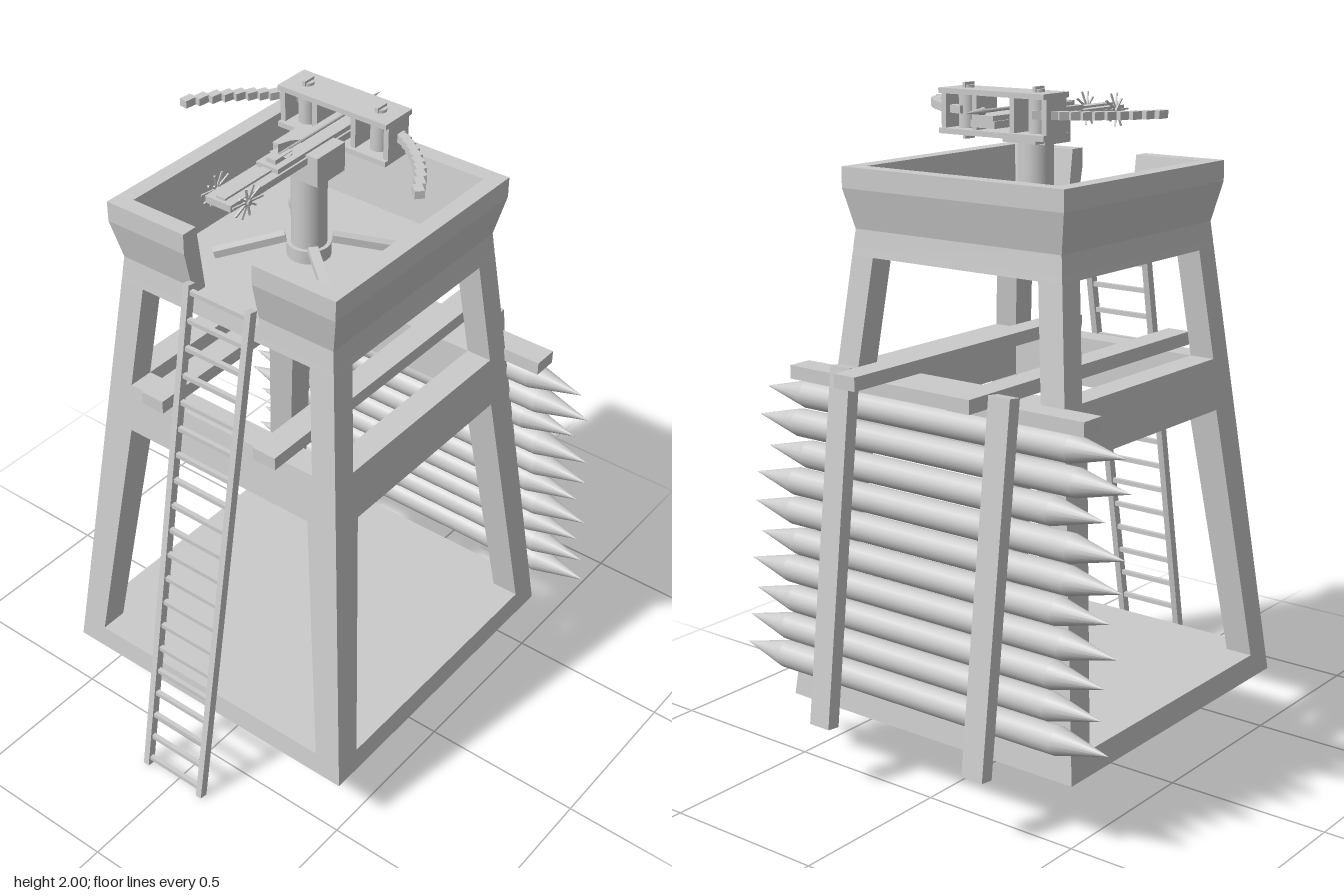
import * as THREE from 'three';

const mat = new THREE.MeshStandardMaterial({ color: 0xcccccc, side: THREE.DoubleSide });

function add(parent, name, geo, x = 0, y = 0, z = 0) {
  const m = new THREE.Mesh(geo, mat);
  m.name = name;
  m.position.set(x, y, z);
  parent.add(m);
  return m;
}

// box given by its limits
function block(parent, name, x0, x1, y0, y1, z0, z1) {
  return add(parent, name, new THREE.BoxGeometry(x1 - x0, y1 - y0, z1 - z0),
    (x0 + x1) / 2, (y0 + y1) / 2, (z0 + z1) / 2);
}

// straight bar between two points, w across and h deep
function bar(parent, name, a, b, w, h) {
  const p = new THREE.Vector3(...a), q = new THREE.Vector3(...b);
  const m = add(parent, name, new THREE.BoxGeometry(w, h, p.distanceTo(q)));
  m.position.copy(p).lerp(q, 0.5);
  m.lookAt(q);
  return m;
}

// box whose bottom and top rectangles [x0, x1, z0, z1] differ
function prism(parent, name, y0, r0, y1, r1) {
  const g = new THREE.BoxGeometry(1, 1, 1).toNonIndexed(), p = g.attributes.position;
  for (let i = 0; i < p.count; i++) {
    const top = p.getY(i) > 0, r = top ? r1 : r0;
    p.setXYZ(i, p.getX(i) > 0 ? r[1] : r[0], top ? y1 : y0, p.getZ(i) > 0 ? r[3] : r[2]);
  }
  g.computeVertexNormals();
  return add(parent, name, g);
}

// wall of a square ring: profile [distance, y], ends mitred unless given
function wall(parent, name, profile, turn, start, end) {
  const shape = new THREE.Shape(profile.map(p => new THREE.Vector2(...p)));
  const g = new THREE.ExtrudeGeometry(shape, { depth: 1, bevelEnabled: false });
  const p = g.attributes.position;
  for (let i = 0; i < p.count; i++) {
    const d = p.getX(i);
    p.setZ(i, p.getZ(i) > 0.5 ? (end ?? d) : (start ?? -d));
  }
  g.computeVertexNormals();
  add(parent, name, g).rotation.y = turn * Math.PI / 2;
}

const outer = y => 0.512 - 0.109 * (y - 0.2);

function tower() {
  const g = new THREE.Group();
  g.name = 'tower';
  g.position.set(0.012, 0, -0.006);
  const sq = h => [-h, h, -h, h];
  prism(g, 'baseSlab', 0.2, sq(outer(0.2)), 0.27, sq(outer(0.27)));

  // leaning corner legs, lower and upper storey
  for (const [y0, i0, y1, i1] of [[0.27, 0.42, 1.05, 0.322], [1.2, 0.325, 1.52, 0.29]]) {
    for (const sx of [-1, 1]) for (const sz of [-1, 1]) {
      const rect = (i, o) => [...(sx > 0 ? [i, o] : [-o, -i]), ...(sz > 0 ? [i, o] : [-o, -i])];
      prism(g, 'leg', y0, rect(i0, outer(y0)), y1, rect(i1, outer(y1)));
    }
  }

  // middle band and flared parapet, with an entry gap on the ladder side
  const band = [[0.322, 1.05], [outer(1.05), 1.05], [outer(1.2), 1.2], [0.325, 1.2]];
  const parapet = [[0.3, 1.54], [outer(1.54), 1.54], [outer(1.595), 1.595], [0.385, 1.71],
    [0.385, 1.77], [0.335, 1.77], [0.308, 1.57]];
  for (let k = 0; k < 4; k++) {
    wall(g, 'middleBand', band, k);
    if (k !== 2) wall(g, 'parapet', parapet, k);
  }
  wall(g, 'parapet', parapet, 2, undefined, -0.115);
  wall(g, 'parapet', parapet, 2, 0.115, undefined);
  prism(g, 'topFloor', 1.52, sq(outer(1.52)), 1.57, sq(outer(1.57) - 0.001));
  return g;
}

function ladder() {
  const g = new THREE.Group();
  g.name = 'ladder';
  const at = (y, z) => [-0.65 + 0.285 * y / 1.62, y, z];
  for (const z of [-0.115, 0.097]) bar(g, 'ladderRail', at(0.004, z), at(1.62, z), 0.02, 0.026);
  for (let i = 0; i < 20; i++) {
    const y = 0.03 + i * 0.0825;
    bar(g, 'rung', at(y, -0.115), at(y, 0.097), 0.014, 0.014);
  }
  return g;
}

function palisade() {
  const g = new THREE.Group();
  g.name = 'palisade';
  // hanging beams and cross plank
  for (const z of [-0.21, 0.19]) block(g, 'hangingBeam', -0.435, 0.61, 1.2, 1.24, z - 0.038, z + 0.038);
  block(g, 'crossPlank', 0.41, 0.488, 1.16, 1.2, -0.525, 0.515);
  for (const z of [-0.285, 0.277]) bar(g, 'palisadePost', [0.64, 0.2, z], [0.512, 1.235, z], 0.072, 0.042);

  // sharpened logs of uneven length
  const r = 0.041, half = 0.49;
  const tips = [[0.64, 0.635], [0.665, 0.66], [0.62, 0.59], [0.665, 0.66], [0.665, 0.66],
    [0.635, 0.63], [0.665, 0.66], [0.64, 0.63], [0.66, 0.63], [0.665, 0.66]];
  tips.forEach(([front, back], i) => {
    const log = new THREE.Group();
    log.name = 'log';
    log.position.set(0.458 + 0.0108 * i, 1.115 - 0.0862 * i, 0);
    log.rotation.x = Math.PI / 2;
    const f = front - 0.165, b = back - 0.165;
    add(log, 'logBody', new THREE.CylinderGeometry(r, r, f + b, 16, 1, true), 0, (f - b) / 2, 0);
    for (const [s, e] of [[1, f], [-1, b]]) {
      const tip = add(log, 'logPoint', new THREE.ConeGeometry(r, 0.165, 16, 1, true), 0, s * (e + 0.0825), 0);
      if (s < 0) tip.rotation.x = Math.PI;
    }
    g.add(log);
  });
  return g;
}

function boltThrower() {
  const g = new THREE.Group();
  g.name = 'boltThrower';
  g.position.z = -0.008;
  // pedestal with four feet
  add(g, 'pedestal', new THREE.CylinderGeometry(0.05, 0.05, 0.27, 20), 0.01, 1.7, 0);
  add(g, 'pedestalCollar', new THREE.CylinderGeometry(0.062, 0.062, 0.04, 20), 0.01, 1.59, 0);
  for (const sx of [-1, 1]) for (const sz of [-1, 1]) {
    bar(g, 'foot', [0.01 + sx * 0.04, 1.62, sz * 0.05], [0.01 + sx * 0.17, 1.58, sz * 0.2], 0.028, 0.022);
  }
  block(g, 'pivotBlock', -0.05, 0.068, 1.83, 1.915, -0.075, 0.075);

  // stock and bolt slide
  block(g, 'stock', -0.36, 0.25, 1.888, 1.908, -0.042, 0.042);
  block(g, 'stockRail', -0.35, -0.165, 1.908, 1.914, -0.015, 0.015);
  block(g, 'slide', -0.165, 0.25, 1.905, 1.922, -0.036, 0.036);
  block(g, 'trigger', -0.15, -0.08, 1.92, 1.935, -0.016, 0.016);

  // spring frame
  block(g, 'frameTop', 0.103, 0.218, 1.97, 1.985, -0.182, 0.182);
  block(g, 'frameBottom', 0.103, 0.218, 1.86, 1.875, -0.182, 0.182);
  for (const s of [-1, 1]) {
    for (const z of [0.065, 0.174]) block(g, 'frameUpright', 0.115, 0.205, 1.875, 1.97, s * z - 0.008, s * z + 0.008);
    add(g, 'spring', new THREE.CylinderGeometry(0.027, 0.027, 0.095, 16), 0.16, 1.9225, s * 0.122);
    for (const y of [1.857, 1.988]) {
      add(g, 'springCap', new THREE.CylinderGeometry(0.017, 0.017, 0.01, 12), 0.16, y, s * 0.122);
      block(g, 'springPin', 0.14, 0.18, y - 0.012, y + 0.012, s * 0.122 - 0.005, s * 0.122 + 0.005);
    }
    // curved bow arm
    const curve = new THREE.CatmullRomCurve3([[0.185, 0.12], [0.165, 0.19], [0.115, 0.265], [0.045, 0.335], [-0.05, 0.395]]
      .map(([x, z]) => new THREE.Vector3(x, 1.926, s * z)));
    const pts = curve.getPoints(12);
    for (let i = 0; i < 12; i++) {
      bar(g, 'bowArm', pts[i].toArray(), pts[i + 1].toArray(), 0.026, 0.022);
    }
    // spoked winch wheel
    for (let k = 0; k < 5; k++) {
      const a = k * Math.PI / 5, c = 0.05 * Math.cos(a), d = 0.05 * Math.sin(a);
      bar(g, 'winchSpoke', [-0.305 - c, 1.898 - d, s * 0.052], [-0.305 + c, 1.898 + d, s * 0.052], 0.005, 0.005);
    }
  }
  add(g, 'winchAxle', new THREE.CylinderGeometry(0.008, 0.008, 0.12, 10), -0.305, 1.898, 0).rotation.x = Math.PI / 2;

  // loaded bolt with fletching
  const y = 1.933;
  add(g, 'boltShaft', new THREE.CylinderGeometry(0.005, 0.005, 0.4, 8), 0.08, y, 0).rotation.z = Math.PI / 2;
  add(g, 'boltTip', new THREE.ConeGeometry(0.011, 0.08, 8), 0.285, y, 0).rotation.z = -Math.PI / 2;
  const fin = new THREE.Shape([[-0.12, 0], [-0.12, 0.03], [-0.07, 0.02], [-0.015, 0]].map(p => new THREE.Vector2(...p)));
  for (let k = 0; k < 3; k++) {
    add(g, 'fletching', new THREE.ShapeGeometry(fin), 0, y, 0).rotation.x = [0, 1, -1][k] * Math.PI / 2;
  }
  return g;
}

export function createModel() {
  const model = new THREE.Group();
  model.name = 'watchtower';
  model.add(tower(), ladder(), palisade(), boltThrower());
  return model;
}
